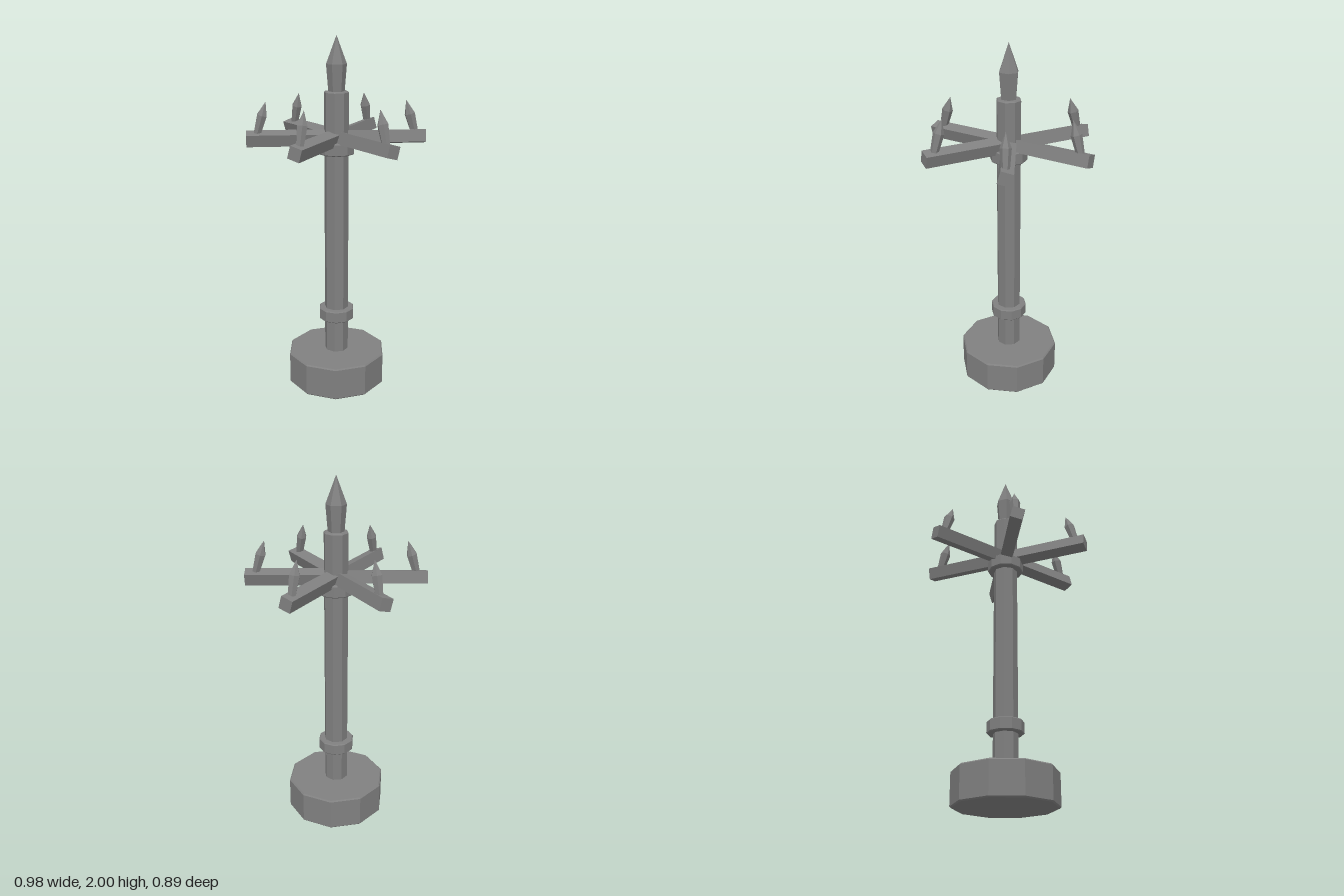
import * as THREE from 'three';

export function createModel() {
  const model = new THREE.Group();
  model.name = 'spikedPost';
  const iron = new THREE.MeshStandardMaterial({ color: 0x808080, flatShading: true });
  iron.name = 'iron grey';

  function add(parent, name, geometry) {
    const mesh = new THREE.Mesh(geometry, iron);
    mesh.name = name;
    parent.add(mesh);
    return mesh;
  }

  // Faceted turned solid from [radius, height] pairs, with a corner on the x axis
  function turned(profile, sides) {
    const points = profile.map(([r, y]) => new THREE.Vector2(r, y));
    return new THREE.LatheGeometry(points, sides).rotateY(Math.PI / 2);
  }

  // Prism with slightly bevelled rims
  function prism(radius, y0, y1, sides, bevel) {
    return turned([
      [0, y0], [radius - bevel, y0], [radius, y0 + bevel],
      [radius, y1 - bevel], [radius - bevel, y1], [0, y1],
    ], sides);
  }

  // Base, post and collars
  add(model, 'base', prism(0.285, 0, 0.19, 10, 0.007));
  add(model, 'post', prism(0.068, 0.15, 1.707, 8, 0.006));
  add(model, 'lowerCollar', prism(0.102, 0.387, 0.456, 10, 0.005));
  add(model, 'upperCollar', prism(0.102, 1.367, 1.436, 10, 0.005));

  // Pointed finial
  add(model, 'finial', turned([[0, 1.69], [0.043, 1.69], [0.056, 1.85], [0, 2]], 6));

  // Six arms, each a twisted square bar with a spike leaning inward
  for (let i = 0; i < 6; i++) {
    const arm = new THREE.Group();
    arm.name = 'arm' + (i + 1);
    arm.rotation.y = (i * Math.PI) / 3;

    const bar = add(arm, 'bar', new THREE.BoxGeometry(0.49, 0.068, 0.068));
    bar.position.set(0.245, 1.456, -0.002);
    bar.rotation.x = -0.27;

    const spikeShape = turned([[0, -0.02], [0.021, -0.02], [0.03, 0.095], [0, 0.173]], 6);
    const spike = add(arm, 'spike', spikeShape.rotateY(Math.PI / 2));
    spike.position.set(0.428, 1.49, 0);
    spike.rotation.z = 0.28;
    model.add(arm);
  }
  return model;
}
